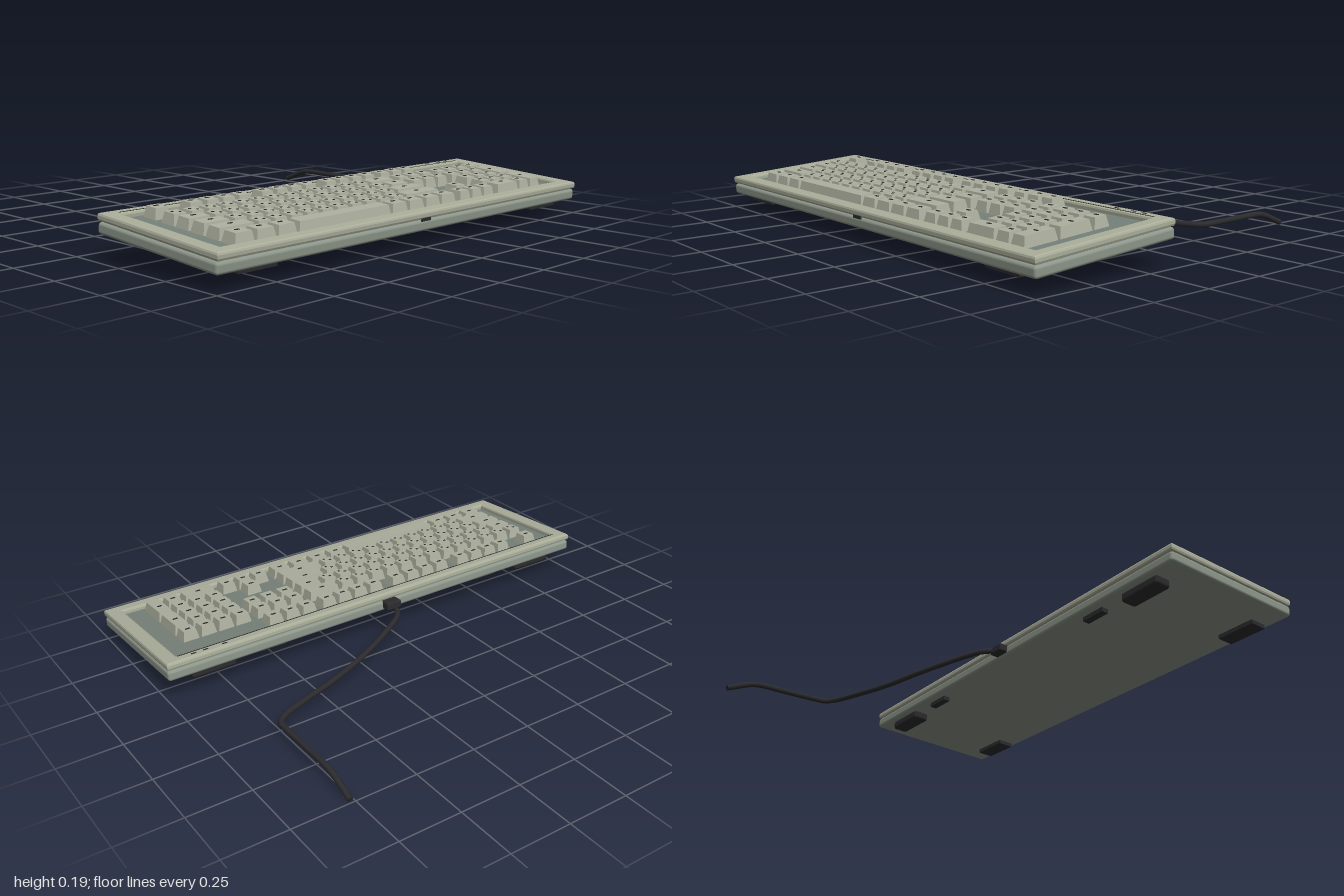
import * as THREE from 'three';
import { mergeGeometries } from 'three/addons/utils/BufferGeometryUtils.js';
import { RoundedBoxGeometry } from 'three/addons/geometries/RoundedBoxGeometry.js';

const UNIT = 0.0765;   // key pitch
const LEFT = -0.861;   // left edge of the key field
const MID_Z = 0.44;    // middle of the case
const FLOOR = 0.055;   // tray height inside the case
const KEY_H = 0.04;

const mat = (name, color) => {
  const m = new THREE.MeshStandardMaterial({ color });
  m.name = name;
  return m;
};

// Key cap: a box whose top is drawn in on all sides
function keyCap(w, d) {
  const g = new THREE.BoxGeometry(w, KEY_H, d);
  const p = g.attributes.position;
  for (let i = 0; i < p.count; i++) {
    if (p.getY(i) < 0) continue;
    p.setX(i, p.getX(i) - Math.sign(p.getX(i)) * 0.008);
    p.setZ(i, p.getZ(i) - Math.sign(p.getZ(i)) * 0.008 - 0.002);
  }
  g.computeVertexNormals();
  return g;
}

// [start, width, depth] of each key in key units
const run = (start, count, w = 1) => Array.from({ length: count }, (_, i) => [start + i * w, w, 1]);
const nav = run(15.25, 3);
const pad = run(18.5, 3);
const ROWS = [
  { name: 'functionRow', z: 0.23, keys: [...run(0, 1), ...run(2, 4), ...run(6.5, 4), ...run(11, 4), ...nav] },
  { name: 'numberRow', z: 0.33, keys: [...run(0, 13), [13, 2, 1], ...nav, ...run(18.5, 4)] },
  { name: 'upperLetterRow', z: 0.4065, keys: [[0, 1.5, 1], ...run(1.5, 12), [13.5, 1.5, 1], ...nav, ...pad, [21.5, 1, 2]] },
  { name: 'middleLetterRow', z: 0.483, keys: [[0, 1.75, 1], ...run(1.75, 11), [12.75, 2.25, 1], ...pad] },
  { name: 'lowerLetterRow', z: 0.5595, keys: [[0, 2.25, 1], ...run(2.25, 10), [12.25, 2.75, 1], ...run(16.25, 1), ...pad, [21.5, 1, 2]] },
  { name: 'bottomRow', z: 0.636, keys: [...run(0, 3, 1.25), [3.75, 6.25, 1], ...run(10, 4, 1.25), ...nav, [18.5, 2, 1], [20.5, 1, 1]] },
];

export function createModel() {
  const shellMat = mat('case', 0xaaae9a);
  const baseMat = mat('base', 0x8d968a);
  const trayMat = mat('tray', 0x76817a);
  const keyMat = mat('keys', 0xadb09f);
  const markMat = mat('marks', 0x2a2c2a);
  const rubberMat = mat('rubber', 0x2b2b2e);

  const model = new THREE.Group();
  model.name = 'keyboard';
  const body = new THREE.Group();
  body.name = 'tiltedBody';
  body.position.set(0, 0.082, MID_Z);
  body.rotation.x = 0.068;
  model.add(body);

  const add = (parent, name, geometry, material, x = 0, y = 0, z = 0) => {
    const m = new THREE.Mesh(geometry, material);
    m.name = name;
    m.position.set(x, y, z);
    parent.add(m);
    return m;
  };
  const box = (name, w, h, d, material, x, y, z) =>
    add(body, name, new THREE.BoxGeometry(w, h, d), material, x, y, z);

  // Lower shell and the tray, whose rim shows as the seam
  add(body, 'lowerShell', new RoundedBoxGeometry(2, 0.043, 0.62, 3, 0.012), baseMat, 0, 0.0215, 0);
  box('tray', 1.975, 0.02, 0.595, trayMat, 0, FLOOR - 0.01, 0);

  // Upper frame with a rectangular opening
  const bevel = 0.009;
  const outline = new THREE.Shape([[-1, -0.31], [1, -0.31], [1, 0.31], [-1, 0.31]].map(p => new THREE.Vector2(...p)));
  outline.holes.push(new THREE.Path([[-0.94, -0.252], [-0.94, 0.26], [0.94, 0.26], [0.94, -0.252]].map(p => new THREE.Vector2(...p))));
  const frame = new THREE.ExtrudeGeometry(outline, {
    depth: 0.03 - 2 * bevel, bevelEnabled: true, bevelSize: bevel, bevelThickness: bevel,
    bevelOffset: -bevel, bevelSegments: 2,
  });
  frame.rotateX(-Math.PI / 2);
  add(body, 'upperFrame', frame, shellMat, 0, 0.045 + bevel, 0);

  // Groove, indicator lights and front badge plate
  box('rearGroove', 1.88, 0.002, 0.004, markMat, 0, 0.0752, -0.271);
  for (const x of [0.75, 0.83, 0.88]) box('indicatorLight', 0.02, 0.002, 0.006, markMat, x, 0.0755, -0.287);
  box('frontBadge', 0.05, 0.012, 0.006, markMat, 0, 0.045, 0.309);

  // Keys, one merged mesh per row, with plain dark ticks on top
  for (const row of ROWS) {
    const caps = [], ticks = [];
    for (const [start, w, d] of row.keys) {
      const x = LEFT + (start + w / 2) * UNIT;
      const z = row.z - MID_Z + (d - 1) * UNIT / 2;
      caps.push(keyCap(w * UNIT - 0.009, d * UNIT - 0.009).translate(x, FLOOR + KEY_H / 2, z));
      if (w > 4) continue;
      const tick = (dx, dz, tw) => ticks.push(
        new THREE.BoxGeometry(tw, 0.002, 0.008).translate(x + dx, FLOOR + KEY_H + 0.0005, z + dz));
      const letter = w === 1 && start < 13 && row.name !== 'functionRow';
      tick(letter ? -0.01 : 0, -0.008, letter ? 0.01 : 0.02);
      if (letter) tick(0.01, 0.01, 0.008);
    }
    add(body, row.name, mergeGeometries(caps), keyMat);
    add(body, row.name + 'Ticks', mergeGeometries(ticks), markMat);
  }

  // Feet and small tabs underneath
  for (const s of [-1, 1]) {
    box('frontFoot', 0.17, 0.02, 0.07, rubberMat, s * 0.805, -0.007, 0.25);
    add(body, 'rearFoot', new RoundedBoxGeometry(0.19, 0.04, 0.07, 2, 0.012), rubberMat, s * 0.8, -0.015, -0.25);
    box('rearTab', 0.11, 0.02, 0.03, rubberMat, s * 0.535, -0.008, -0.26);
  }

  // Cable with its strain relief
  add(body, 'cableRelief', new RoundedBoxGeometry(0.07, 0.034, 0.05, 2, 0.007), rubberMat, 0, 0.026, -0.32);
  const path = new THREE.CatmullRomCurve3([
    [0, 0.118, 0.083], [0.025, 0.113, 0.045], [0.08, 0.105, 0.008], [0.27, 0.08, -0.085],
    [0.45, 0.063, -0.15], [0.62, 0.062, -0.208], [0.725, 0.062, -0.25], [0.764, 0.062, -0.285],
    [0.768, 0.062, -0.33], [0.768, 0.062, -0.47], [0.768, 0.062, -0.6], [0.768, 0.055, -0.64],
    [0.768, 0.013, -0.745],
  ].map(p => new THREE.Vector3(...p)));
  const cable = add(model, 'cable', new THREE.TubeGeometry(path, 90, 0.0115, 10), rubberMat);
  for (const [t, turn] of [[0, Math.PI], [1, 0]]) {
    const cap = add(cable, 'cableEnd', new THREE.CircleGeometry(0.0115, 10), rubberMat);
    const end = path.getPointAt(t);
    const dir = path.getTangentAt(t).multiplyScalar(turn ? -1 : 1);
    cap.position.copy(end);
    cap.lookAt(end.clone().add(dir));
  }
  return model;
}
